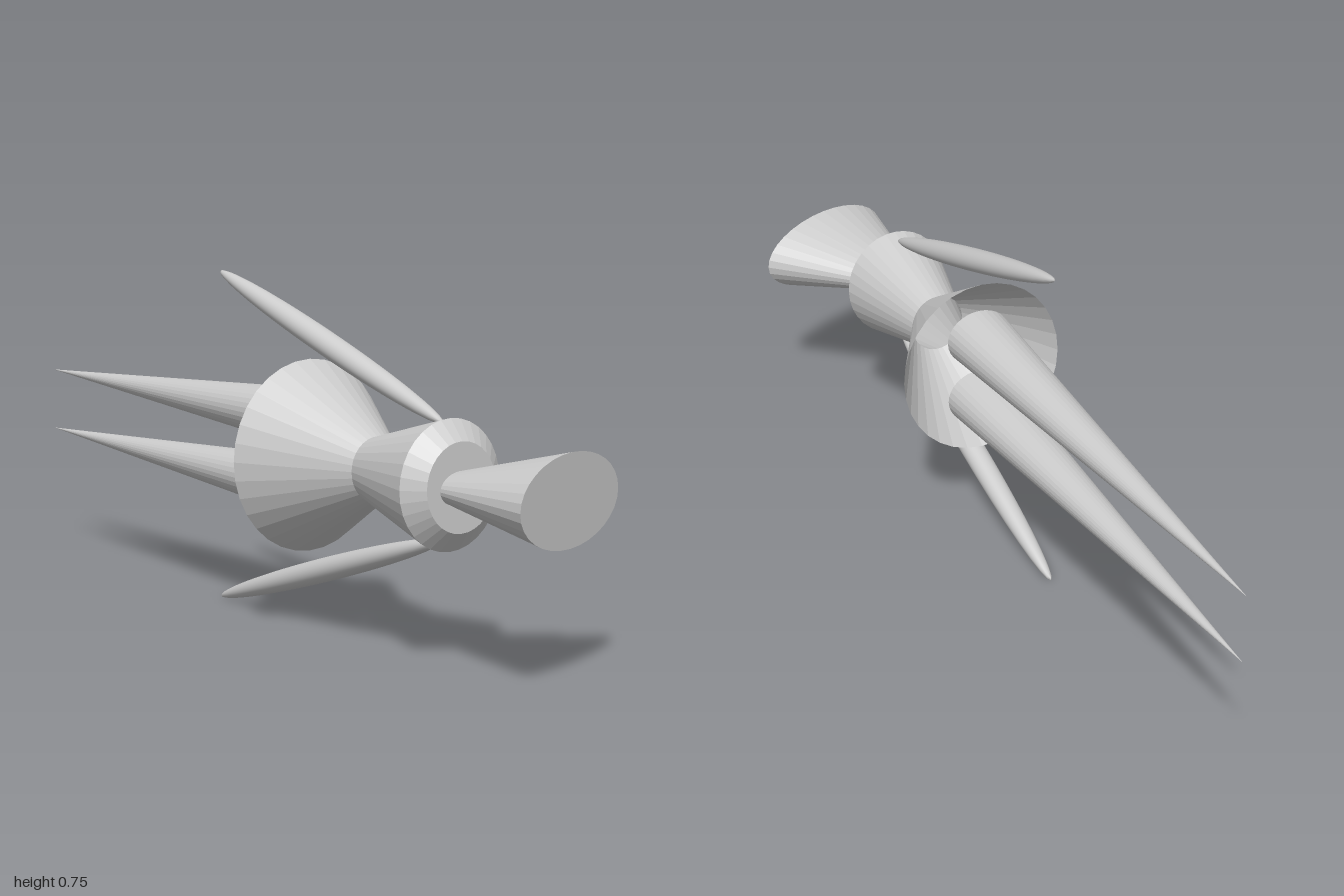
import * as THREE from 'three';

const CX = -0.03, CY = 0.37;

export function createModel() {
  const model = new THREE.Group();
  const flat = new THREE.MeshStandardMaterial({ color: 0xcccccc, flatShading: true, side: THREE.DoubleSide });
  const smooth = new THREE.MeshStandardMaterial({ color: 0xcccccc });

  const add = (name, geometry, material, x, y, z) => {
    const mesh = new THREE.Mesh(geometry, material);
    mesh.name = name;
    mesh.position.set(x, y, z);
    model.add(mesh);
    return mesh;
  };

  // Torso: open flared skirt, waist, chest and bevelled shoulders along z
  const profile = [[0.208, 0.17], [0.069, 0.415], [0.134, 0.66], [0.092, 0.697], [0, 0.697]]
    .map(([r, z]) => new THREE.Vector2(r, z));
  const torso = new THREE.LatheGeometry(profile, 32);
  torso.rotateX(Math.PI / 2);
  torso.scale(0.93, 1, 1);
  add('torso', torso, flat, CX, CY, 0);

  // Head: flattened frustum turned to one side, wide end forward
  const head = new THREE.CylinderGeometry(0.186, 0.067, 0.25, 32);
  head.scale(1, 1, 0.5);
  head.rotateX(Math.PI / 2);
  head.rotateY(0.343);
  add('head', head, flat, 0.005, CY, 0.815);

  for (const side of [1, -1]) {
    const label = side > 0 ? 'upper' : 'lower';

    // Leg: long spike from the skirt opening
    const leg = new THREE.ConeGeometry(0.066, 1.17, 32);
    leg.rotateX(-Math.PI / 2);
    leg.scale(1.17, 1, 1);
    add(label + 'Leg', leg, flat, -0.023, CY + 0.003 + side * 0.075, -0.415);

    // Arm: slender ellipsoid swept back from the shoulder
    const arm = new THREE.SphereGeometry(1, 32, 24);
    arm.scale(0.028, 0.026, 0.431);
    add(label + 'Arm', arm, smooth, CX, CY + 0.003 + side * 0.245, 0.225).rotation.x = side * 0.3;
  }
  return model;
}
